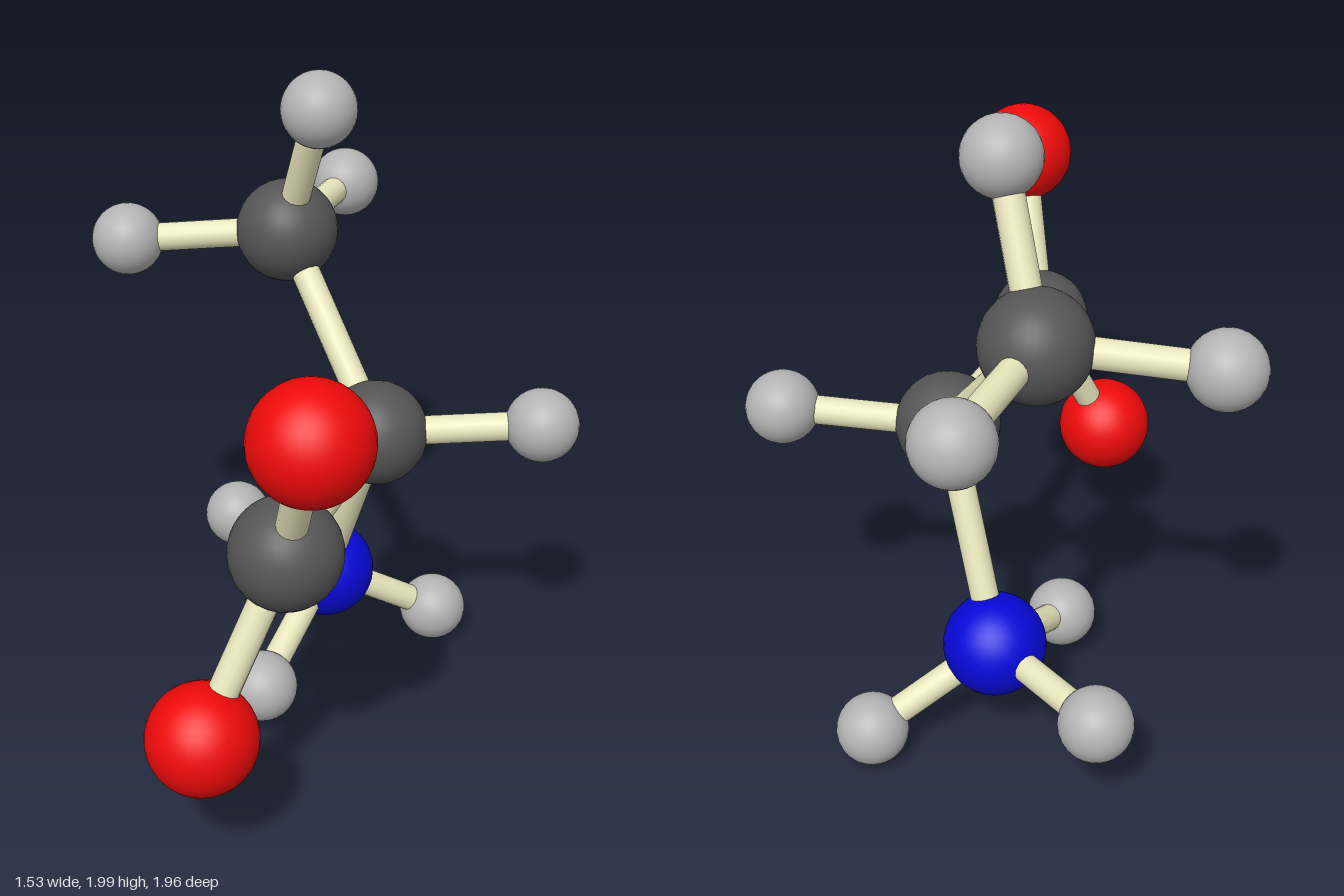
import * as THREE from 'three';

// Element styles: sphere radius and colour
const ELEMENTS = {
  carbon: { radius: 0.154, color: 0x555555 },
  oxygen: { radius: 0.155, color: 0xee0a0a },
  nitrogen: { radius: 0.155, color: 0x0808d8 },
  hydrogen: { radius: 0.109, color: 0xb4b4b4 },
};

// Atoms: name, element, centre
const ATOMS = [
  ['centralCarbon', 'carbon', [0.196, 0.977, -0.11]],
  ['acidCarbon', 'carbon', [0.196, 0.977, 0.6]],
  ['upperOxygen', 'oxygen', [0.35, 1.443, 0.825]],
  ['lowerOxygen', 'oxygen', [0.04, 0.485, 0.812]],
  ['methylCarbon', 'carbon', [-0.192, 1.46, -0.382]],
  ['amineNitrogen', 'nitrogen', [-0.021, 0.352, -0.28]],
  ['centralHydrogen', 'hydrogen', [0.655, 1.014, -0.265]],
  ['methylHydrogenTop', 'hydrogen', [-0.033, 1.892, -0.228]],
  ['methylHydrogenRight', 'hydrogen', [-0.658, 1.417, -0.238]],
  ['methylHydrogenBack', 'hydrogen', [-0.185, 1.453, -0.873]],
  ['amineHydrogenRight', 'hydrogen', [-0.423, 0.352, -0.492]],
  ['amineHydrogenFront', 'hydrogen', [-0.066, 0.167, 0.153]],
  ['amineHydrogenLeft', 'hydrogen', [0.274, 0.118, -0.527]],
];

// Bonds: each hub atom and the atoms attached to it
const BONDS = {
  centralCarbon: ['acidCarbon', 'methylCarbon', 'amineNitrogen', 'centralHydrogen'],
  acidCarbon: ['upperOxygen', 'lowerOxygen'],
  methylCarbon: ['methylHydrogenTop', 'methylHydrogenRight', 'methylHydrogenBack'],
  amineNitrogen: ['amineHydrogenRight', 'amineHydrogenFront', 'amineHydrogenLeft'],
};
const BOND_RADIUS = 0.043;

// Cylinder running from point a to point b
function makeBond(a, b, material) {
  const dir = b.clone().sub(a);
  const geometry = new THREE.CylinderGeometry(BOND_RADIUS, BOND_RADIUS, dir.length(), 16);
  const bond = new THREE.Mesh(geometry, material);
  bond.position.copy(a).add(b).multiplyScalar(0.5);
  bond.quaternion.setFromUnitVectors(new THREE.Vector3(0, 1, 0), dir.normalize());
  return bond;
}

export function createModel() {
  const model = new THREE.Group();
  model.name = 'moleculeModel';

  // One shared sphere and material per element
  const parts = {};
  for (const [element, { radius, color }] of Object.entries(ELEMENTS)) {
    parts[element] = {
      geometry: new THREE.SphereGeometry(radius, 32, 20),
      material: new THREE.MeshStandardMaterial({ color }),
    };
  }

  // Atoms
  const centres = {};
  for (const [name, element, position] of ATOMS) {
    const atom = new THREE.Mesh(parts[element].geometry, parts[element].material);
    atom.name = name;
    atom.position.set(...position);
    centres[name] = atom.position;
    model.add(atom);
  }

  // Bonds
  const bondMaterial = new THREE.MeshStandardMaterial({ color: 0xe8e6bc });
  for (const [hub, ends] of Object.entries(BONDS)) {
    for (const end of ends) {
      const bond = makeBond(centres[hub], centres[end], bondMaterial);
      bond.name = `bond_${hub}_${end}`;
      model.add(bond);
    }
  }
  return model;
}
